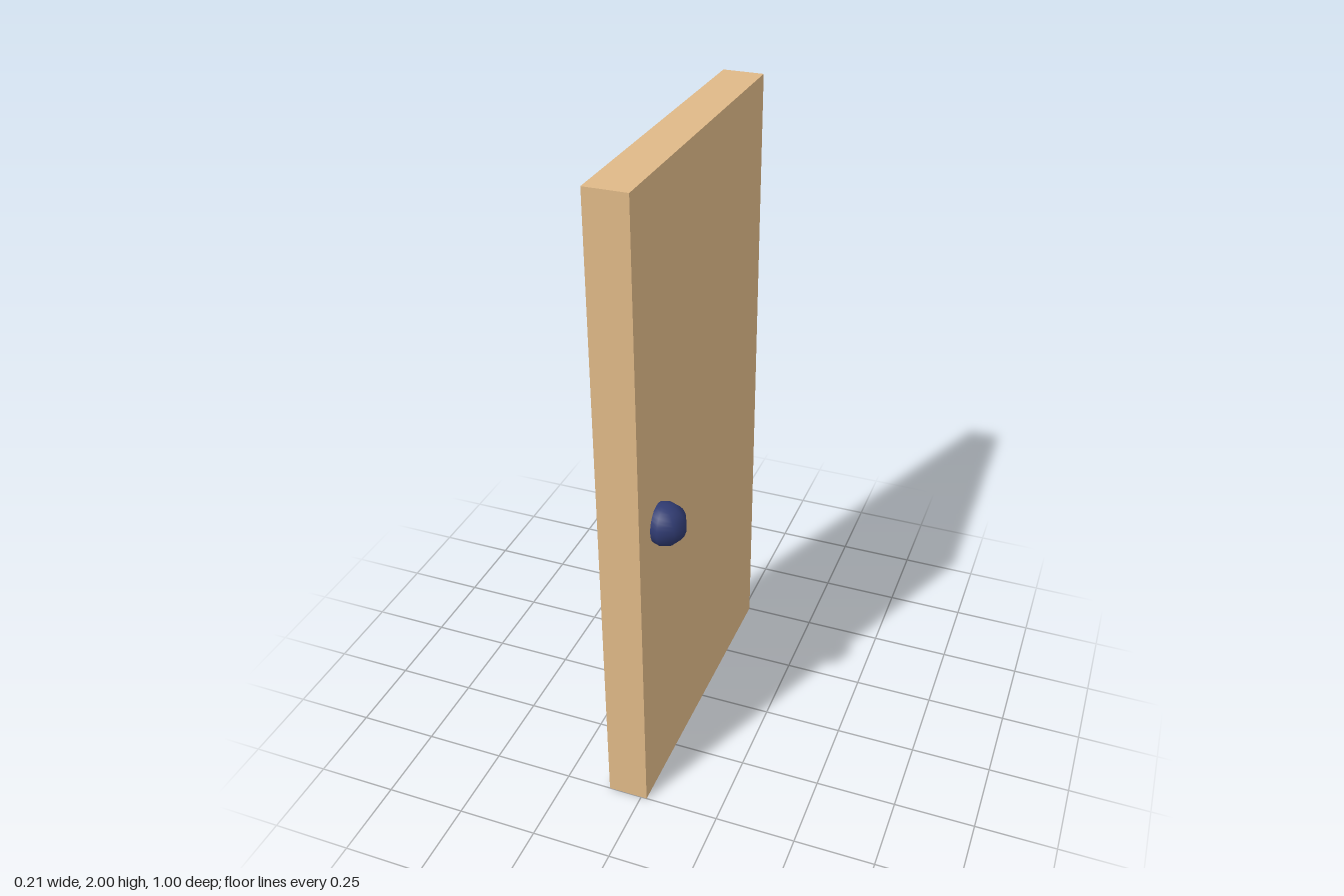
import * as THREE from 'three';

export function createModel() {
  const group = new THREE.Group();

  // Plain slab standing on the ground, its broad faces towards left and right
  const panel = new THREE.Mesh(
    new THREE.BoxGeometry(0.125, 2, 1),
    new THREE.MeshStandardMaterial({ color: 0xdeb887 })
  );
  panel.name = 'doorPanel';
  panel.position.set(-0.044, 1, 0);
  group.add(panel);

  // Eight-sided round knob, partly sunk into the left face near the front edge
  const knob = new THREE.Mesh(
    new THREE.SphereGeometry(0.065, 8, 16),
    new THREE.MeshStandardMaterial({ color: 0x2f3a70 })
  );
  knob.name = 'doorKnob';
  knob.position.set(0.041, 0.973, 0.367);
  group.add(knob);

  return group;
}
